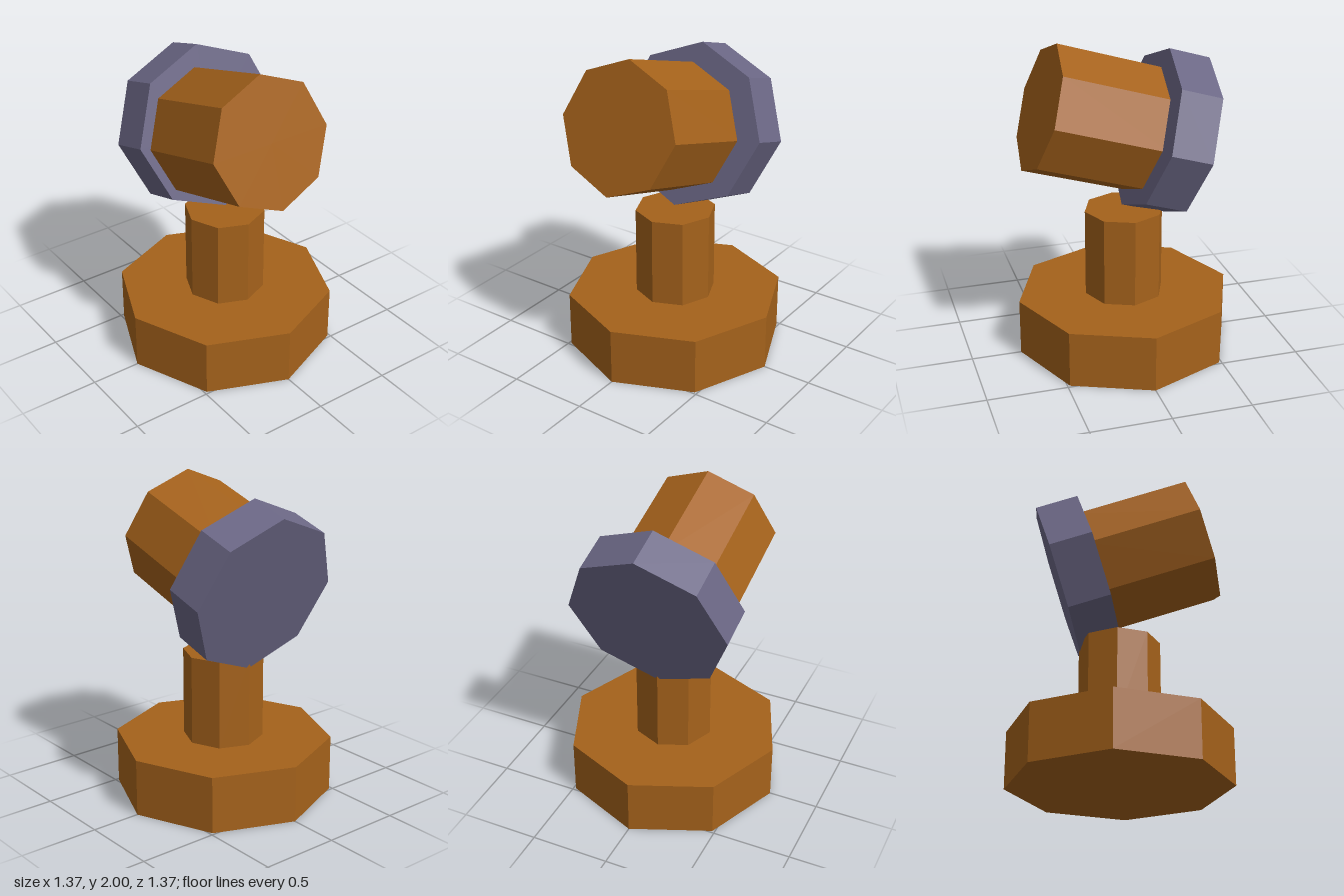
import * as THREE from 'three';

const brown = new THREE.MeshStandardMaterial({ color: 0xa5621b });
const slate = new THREE.MeshStandardMaterial({ color: 0x6b6785 });
brown.flatShading = slate.flatShading = true;

// Eight-sided prism centred on its own axis
function prism(name, radius, length, material) {
  const mesh = new THREE.Mesh(new THREE.CylinderGeometry(radius, radius, length, 8), material);
  mesh.name = name;
  return mesh;
}

export function createModel() {
  const model = new THREE.Group();
  model.name = 'pedestalWithTiltedHead';

  // Foot and upright post
  const base = prism('base', 0.685, 0.36, brown);
  base.position.y = 0.18;
  const post = prism('post', 0.252, 0.575, brown);
  post.position.y = 0.6375;

  // Head: its local y axis points forward and slightly up
  const head = new THREE.Group();
  head.name = 'head';
  head.position.set(0, 1.398, -0.266);
  head.rotation.x = THREE.MathUtils.degToRad(72.95);

  const disc = prism('backDisc', 0.514, 0.268, slate);
  const barrel = prism('barrel', 0.405, 0.72, brown);
  barrel.position.set(-0.043, 0.45, 0.023);
  head.add(disc, barrel);

  model.add(base, post, head);
  return model;
}
